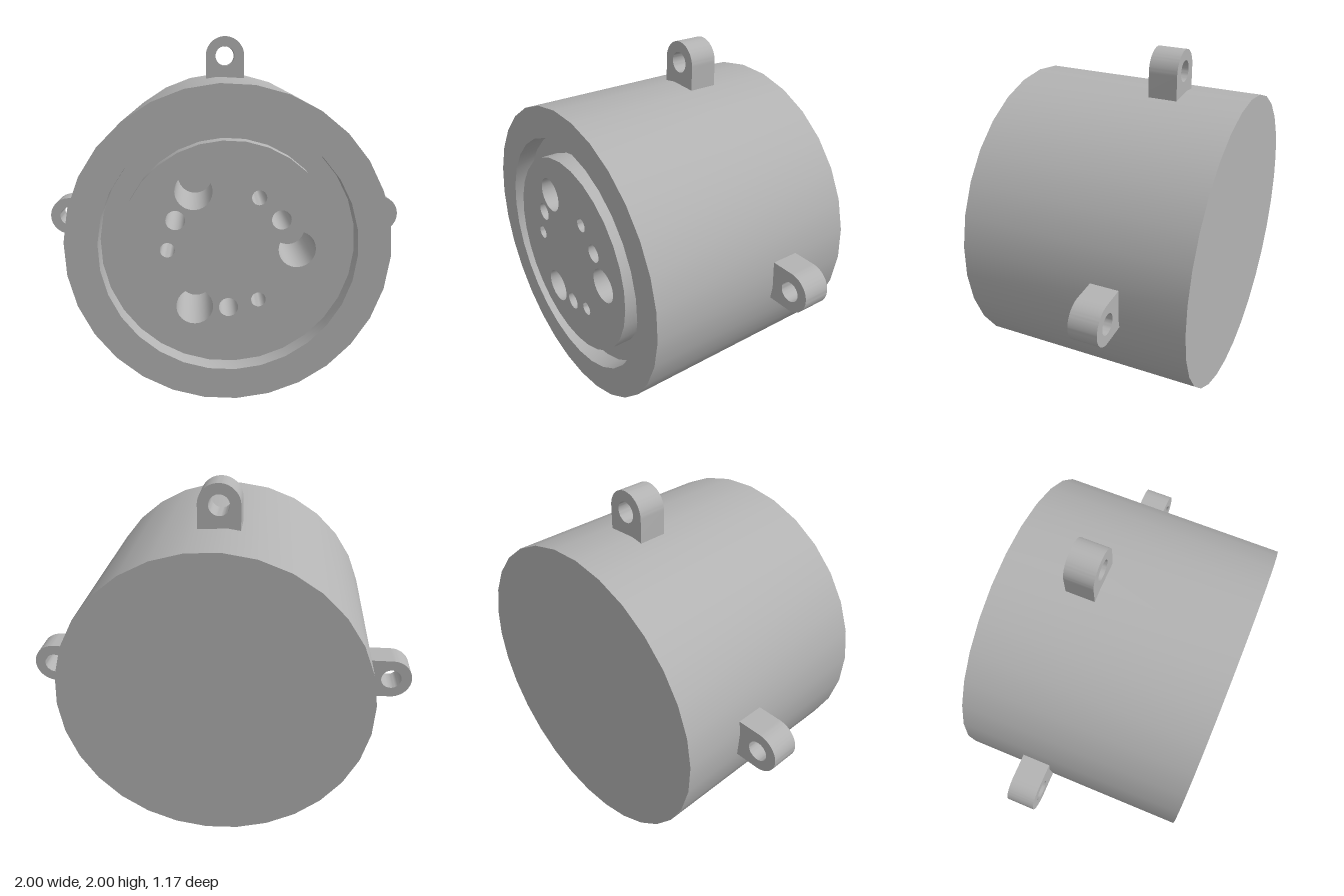
import * as THREE from 'three';
import { toCreasedNormals } from 'three/addons/utils/BufferGeometryUtils.js';

const SIDES = 30;
const TWIST = THREE.MathUtils.degToRad(3);
const FRONT = 0.588, BACK = -0.585;
const RADIUS = 0.785, GROOVE_OUT = 0.625, GROOVE_IN = 0.525, GROOVE_DEPTH = 0.1;
const HOLE_DEPTH = 0.4;

// x, y (from the axis) and radius of each blind hole
const HOLES = [
  [-0.165, 0.286, 0.09], [-0.165, -0.286, 0.09], [0.33, 0, 0.09],
  [-0.253, 0.146, 0.047], [0.253, 0.146, 0.047], [0, -0.292, 0.047],
  [-0.293, 0, 0.036], [0.146, 0.254, 0.036], [0.146, -0.254, 0.036],
];

// Turned solid about the z axis; profile points are [radius, z]
function turned(profile, sides) {
  const points = profile.map(([r, z]) => new THREE.Vector2(r, z));
  const geometry = new THREE.LatheGeometry(points, sides);
  geometry.rotateX(Math.PI / 2);
  return toCreasedNormals(geometry, Math.PI / 6);
}

// Regular polygon whose corners line up with a turned part
function ring(x, y, r, sides, twist = 0) {
  return Array.from({ length: sides }, (_, i) => {
    const a = -Math.PI / 2 + twist + (i / sides) * Math.PI * 2;
    return new THREE.Vector2(x + r * Math.cos(a), y + r * Math.sin(a));
  });
}

export function createModel() {
  const grey = new THREE.MeshStandardMaterial({ color: 0xb3b3b3 });
  grey.name = 'grey';
  const model = new THREE.Group();
  model.name = 'connectorHousing';
  const body = new THREE.Group();
  body.name = 'body';
  body.position.y = 1;
  model.add(body);

  const add = (name, geometry) => {
    const mesh = new THREE.Mesh(geometry, grey);
    mesh.name = name;
    body.add(mesh);
    return mesh;
  };

  // Drum with closed back, front rim and ring groove
  const drum = turned([
    [0, BACK], [RADIUS, BACK], [RADIUS, FRONT], [GROOVE_OUT, FRONT],
    [GROOVE_OUT, FRONT - GROOVE_DEPTH], [GROOVE_IN, FRONT - GROOVE_DEPTH], [GROOVE_IN, FRONT],
  ], SIDES);
  drum.rotateZ(TWIST);
  add('drum', drum);

  // Flat centre face pierced by the holes
  const face = new THREE.Shape(ring(0, 0, GROOVE_IN, SIDES, TWIST));
  HOLES.forEach(([x, y, r]) => face.holes.push(new THREE.Path(ring(x, y, r, 24))));
  add('centreFace', new THREE.ShapeGeometry(face)).position.z = FRONT;

  // Walls and floors of the holes
  HOLES.forEach(([x, y, r]) => {
    const bore = turned([[r, 0], [r, -HOLE_DEPTH], [0, -HOLE_DEPTH]], 24);
    add('hole', bore).position.set(x, y, FRONT);
  });

  // Four rounded mounting lugs with through holes
  const half = 0.105, centre = 0.895;
  const outline = new THREE.Shape();
  outline.moveTo(-half, 0.72);
  outline.lineTo(half, 0.72);
  outline.lineTo(half, centre);
  outline.absarc(0, centre, half, 0, Math.PI, false);
  outline.lineTo(-half, 0.72);
  outline.holes.push(new THREE.Path().absarc(0, centre, 0.052, 0, Math.PI * 2, true));
  const lug = toCreasedNormals(new THREE.ExtrudeGeometry(outline, {
    depth: 0.145, bevelEnabled: false, curveSegments: 20,
  }), Math.PI / 6);
  ['topLug', 'rightLug', 'bottomLug', 'leftLug'].forEach((name, i) => {
    const mesh = add(name, lug);
    mesh.position.z = -0.255;
    mesh.rotation.z = i * Math.PI / 2;
  });

  return model;
}
